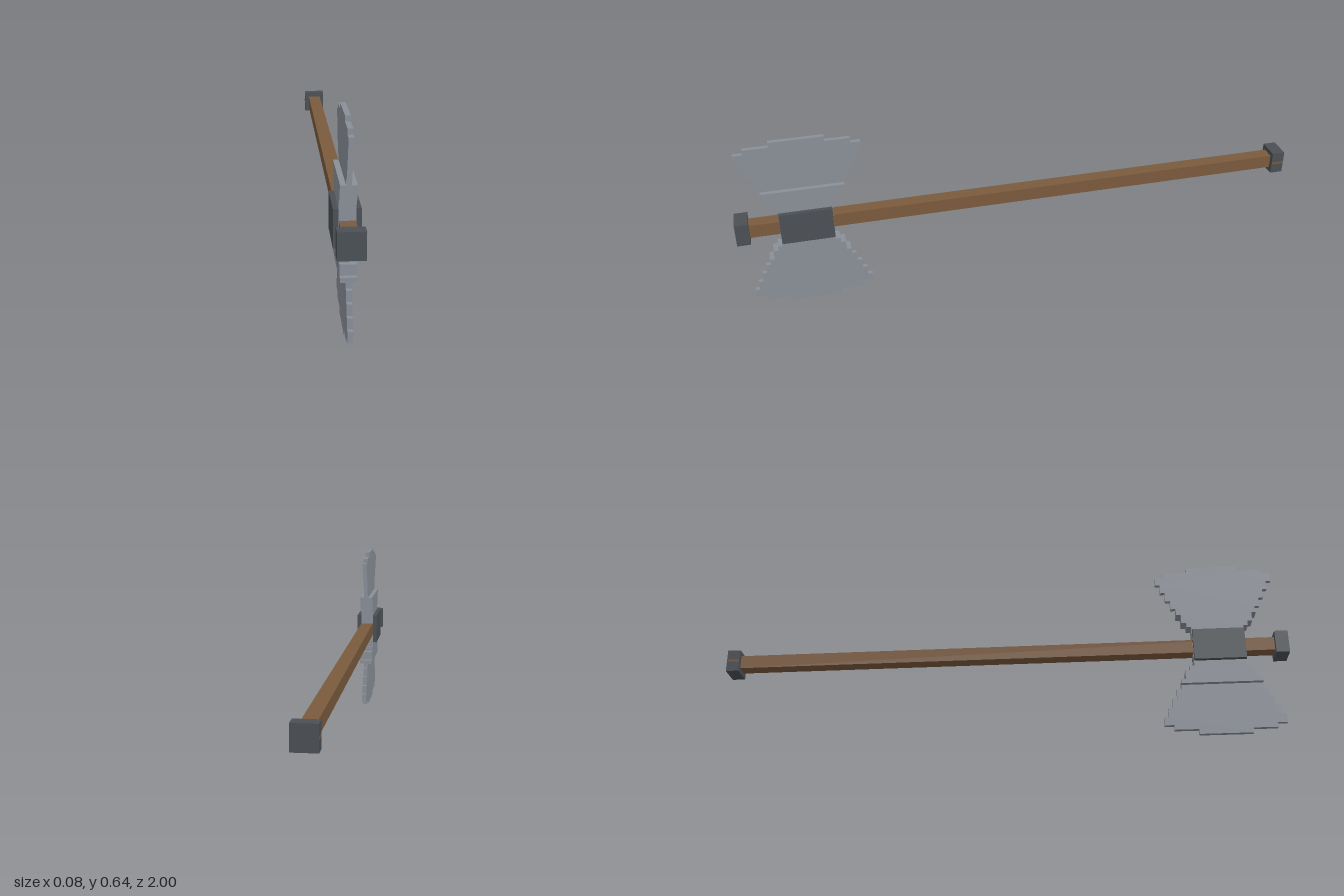
import * as THREE from 'three';

const CY = 0.3225;   // height of the handle axis
const HEAD_Z = 0.762; // centre of the axe head along the handle

const iron = new THREE.MeshStandardMaterial({ color: 0x4b5055 });
iron.name = 'dark iron';
const steel = new THREE.MeshStandardMaterial({ color: 0x8a8f98 });
steel.name = 'grey steel';
const wood = new THREE.MeshStandardMaterial({ color: 0x7a5a3d });
wood.name = 'brown wood';

// Blade steps: [outer distance from the axis, half width]
const STEPS = [
  [0.075, 0.091], [0.092, 0.107], [0.125, 0.124], [0.157, 0.14], [0.19, 0.157],
  [0.224, 0.174], [0.257, 0.19], [0.288, 0.207], [0.305, 0.174], [0.3225, 0.091],
];

function box(name, material, size, position) {
  const mesh = new THREE.Mesh(new THREE.BoxGeometry(...size), material);
  mesh.name = name;
  mesh.position.set(...position);
  return mesh;
}

// Stepped plate from the axis outwards, cut off at a given distance
function steppedPlate(name, limit, thickness) {
  const right = [];
  let inner = 0;
  for (const [outer, half] of STEPS) {
    if (inner >= limit) break;
    const end = Math.min(outer, limit);
    right.push(new THREE.Vector2(half, inner), new THREE.Vector2(half, end));
    inner = end;
  }
  const left = right.map((p) => new THREE.Vector2(-p.x, p.y)).reverse();
  const geometry = new THREE.ExtrudeGeometry(new THREE.Shape([...right, ...left]), {
    depth: thickness, bevelEnabled: false,
  });
  geometry.translate(0, 0, -thickness / 2);
  geometry.rotateY(Math.PI / 2);
  const mesh = new THREE.Mesh(geometry, steel);
  mesh.name = name;
  return mesh;
}

export function createModel() {
  const model = new THREE.Group();
  model.name = 'doubleAxe';

  // Handle, end caps and collar
  model.add(box('handle', wood, [0.048, 0.048, 1.92], [0, CY, 0]));
  for (const [name, side] of [['frontCap', 1], ['backCap', -1]]) {
    model.add(box(name, iron, [0.08, 0.081, 0.046], [0, CY, side * 0.977]));
  }
  model.add(box('collar', iron, [0.081, 0.115, 0.18], [0, CY + 0.001, HEAD_Z]));

  // Thin wooden inlay on the sides of the back cap
  for (const side of [1, -1]) {
    model.add(box('capInlay', wood, [0.001, 0.008, 0.044], [side * 0.04, CY, -0.977]));
  }

  // Mirrored blades, each a thin plate with a thicker root
  for (const [name, turn] of [['upperBlade', 0], ['lowerBlade', Math.PI]]) {
    const blade = new THREE.Group();
    blade.name = name;
    blade.add(steppedPlate('bladePlate', 0.3225, 0.016));
    blade.add(steppedPlate('bladeRoot', 0.14, 0.049));
    blade.position.set(0, CY, HEAD_Z);
    blade.rotation.z = turn;
    model.add(blade);
  }
  return model;
}
